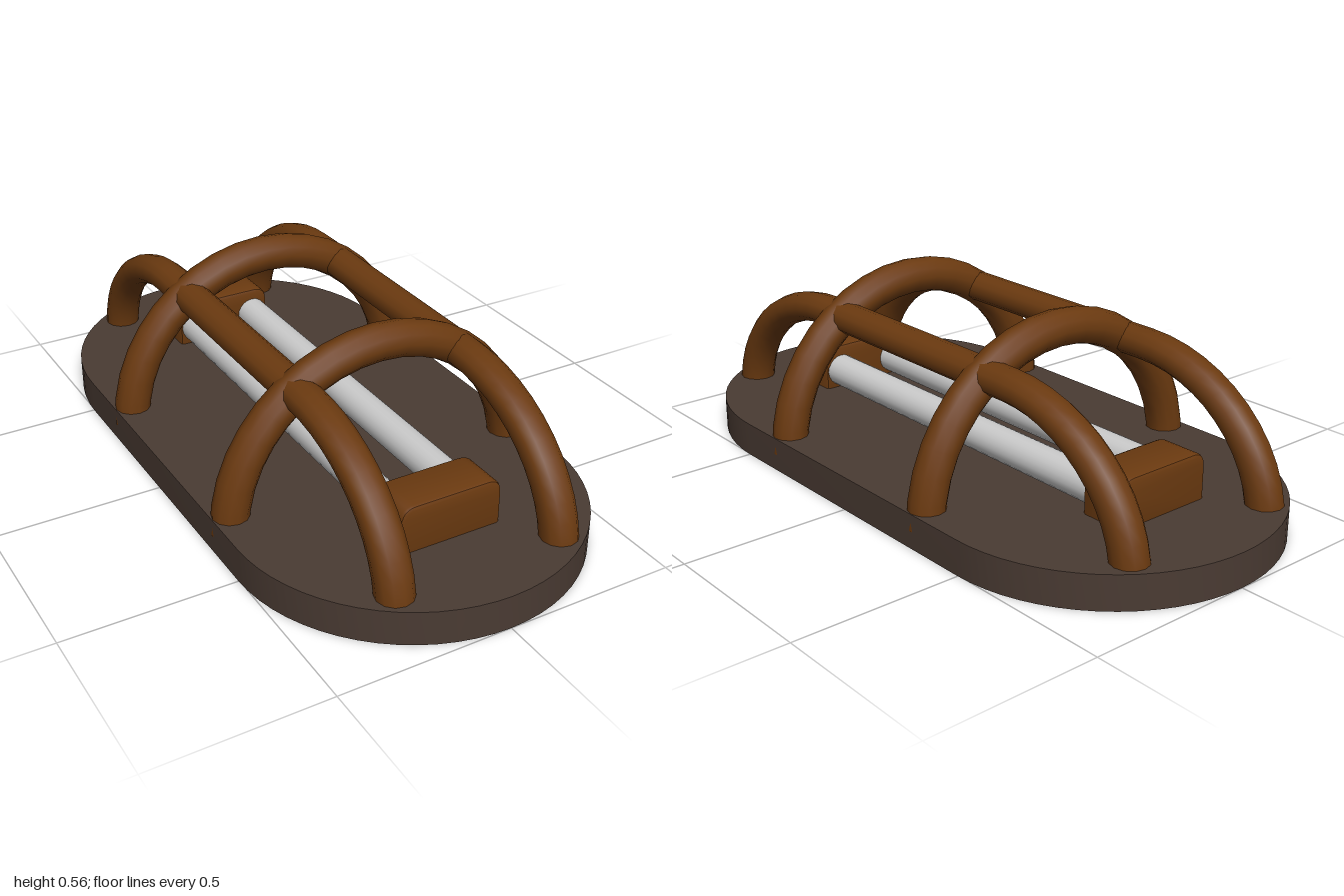
import * as THREE from 'three';
import { toCreasedNormals } from 'three/addons/utils/BufferGeometryUtils.js';

const BASE_H = 0.1;      // plate thickness
const ARC_Y = 0.05;      // level where the cage bars are anchored inside the plate
const ARC_R = 0.452;     // centre-line radius of the cage arcs
const BAR_R = 0.053;     // cage bar thickness
const RAIL_Z = 0.405;    // where the long bars begin to curve down

export function createModel() {
  const model = new THREE.Group();
  const plateMat = new THREE.MeshStandardMaterial({ color: 0x4a3b33 });
  const cageMat = new THREE.MeshStandardMaterial({ color: 0x6b3a10 });
  const tubeMat = new THREE.MeshStandardMaterial({ color: 0xcccccc });

  const add = (parent, name, geometry, material, x = 0, y = 0, z = 0) => {
    const mesh = new THREE.Mesh(geometry, material);
    mesh.name = name;
    mesh.position.set(x, y, z);
    parent.add(mesh);
    return mesh;
  };

  // Back plate: a stadium outline extruded upwards
  const r = 0.503, s = 1 - r;
  const outline = new THREE.Shape();
  outline.absarc(0, s, r, 0, Math.PI);
  outline.absarc(0, -s, r, Math.PI, Math.PI * 2);
  outline.closePath();
  const plate = new THREE.ExtrudeGeometry(outline, { depth: BASE_H, bevelEnabled: false, curveSegments: 16 });
  plate.rotateX(-Math.PI / 2);
  add(model, 'basePlate', toCreasedNormals(plate, 0.6), plateMat);

  // Two half-round hoops across the plate
  for (const z of [0.35, -0.305]) {
    add(model, 'crossHoop', new THREE.TorusGeometry(ARC_R, BAR_R, 12, 20, Math.PI), cageMat, 0, ARC_Y, z);
  }

  // Two long bars, slightly flattened, curving down at both ends
  for (const x of [-0.252, 0.252]) {
    const rail = new THREE.Group();
    rail.name = 'longBar';
    rail.position.set(x, ARC_Y, 0);
    rail.scale.y = 0.835;
    const straight = new THREE.CylinderGeometry(BAR_R, BAR_R, RAIL_Z * 2, 12, 1, true);
    straight.rotateX(Math.PI / 2);
    add(rail, 'longBarStraight', straight, cageMat, 0, ARC_R, 0);
    for (const side of [1, -1]) {
      const bend = new THREE.TorusGeometry(ARC_R, BAR_R, 12, 12, Math.PI / 2);
      bend.rotateY(-side * Math.PI / 2);
      add(rail, 'longBarBend', bend, cageMat, 0, 0, side * RAIL_Z);
    }
    model.add(rail);
  }

  // Tube holders: blocks with rounded top corners and a fine bevel
  const bevel = 0.01, w = 0.155 - bevel, h = 0.237 - BASE_H - bevel, c = 0.035, depth = 0.14;
  const profile = new THREE.Shape();
  profile.moveTo(-w, 0);
  profile.lineTo(w, 0);
  profile.lineTo(w, h - c);
  profile.quadraticCurveTo(w, h, w - c, h);
  profile.lineTo(-w + c, h);
  profile.quadraticCurveTo(-w, h, -w, h - c);
  profile.closePath();
  for (const z of [-0.657, 0.657]) {
    const block = new THREE.ExtrudeGeometry(profile, {
      depth: depth - 2 * bevel, bevelSize: bevel, bevelThickness: bevel, bevelSegments: 2, curveSegments: 6,
    });
    block.translate(0, 0, bevel - depth / 2);
    add(model, 'tubeHolder', toCreasedNormals(block, 0.6), cageMat, 0, BASE_H, z);
  }

  // Pair of light tubes between the holders
  for (const x of [-0.101, 0.101]) {
    const tube = new THREE.CylinderGeometry(0.049, 0.049, 1.22, 20);
    tube.rotateX(Math.PI / 2);
    add(model, 'lightTube', tube, tubeMat, x, 0.155, 0);
  }

  return model;
}
